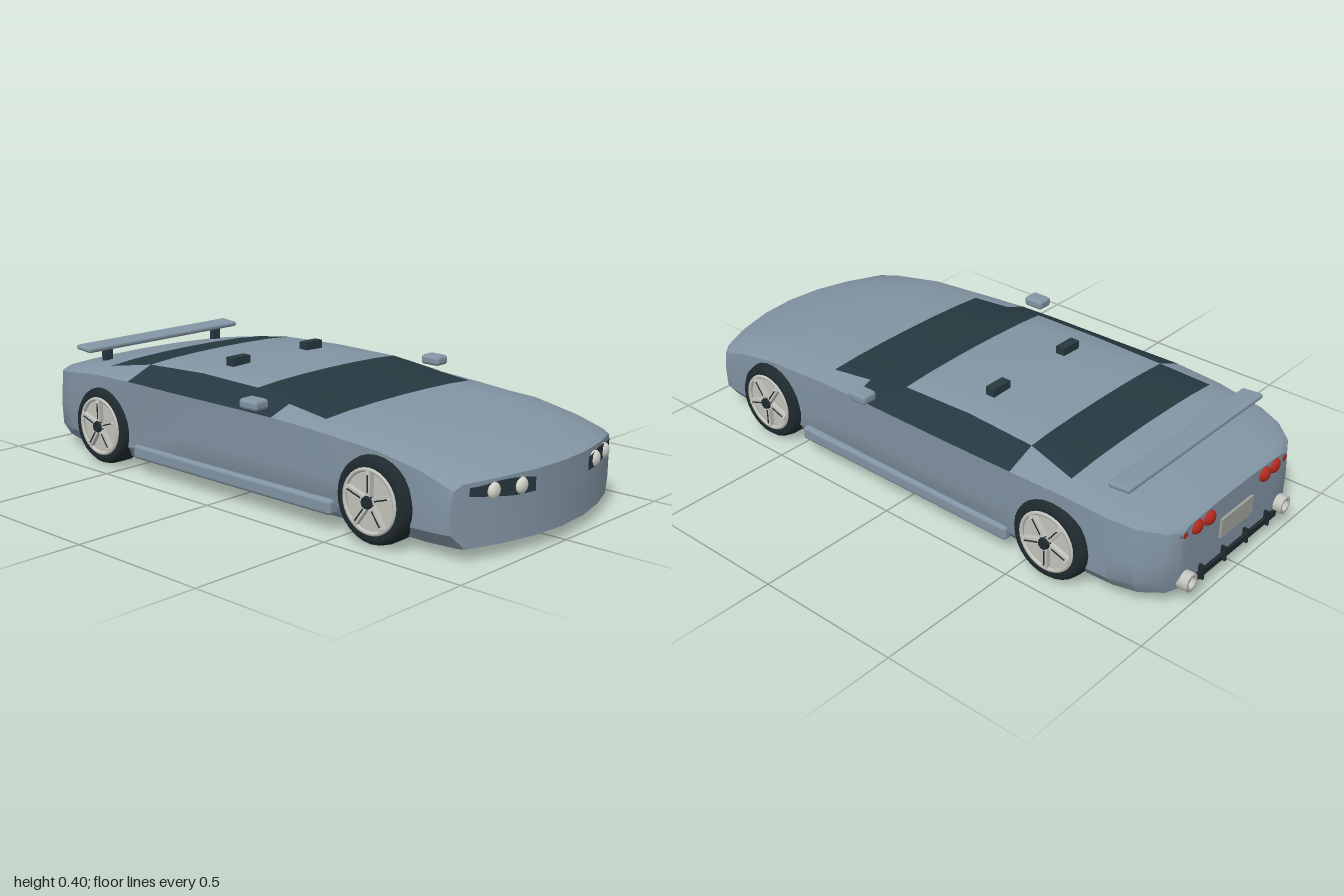
import * as THREE from 'three';
import { toCreasedNormals } from 'three/addons/utils/BufferGeometryUtils.js';
import { RoundedBoxGeometry } from 'three/addons/geometries/RoundedBoxGeometry.js';

const paint = (name, color) => {
  const m = new THREE.MeshStandardMaterial({ color });
  m.name = name;
  return m;
};

export function createModel() {
  const car = new THREE.Group();
  car.name = 'sportsCar';
  const body = paint('bodyPaint', 0x8294a3);
  const glass = paint('darkGlass', 0x263840);
  const rubber = paint('tyreRubber', 0x1f2a2e);
  const metal = paint('alloy', 0xc4c4be);
  const lampWhite = paint('lampWhite', 0xd6d6cc);
  const red = paint('tailRed', 0xb42a20);
  const plateGrey = paint('plateGrey', 0xa2a29e);

  const add = (name, geo, mat, x = 0, y = 0, z = 0, parent = car) => {
    const m = new THREE.Mesh(geo, mat);
    m.name = name;
    m.position.set(x, y, z);
    parent.add(m);
    return m;
  };
  const box = (w, h, d) => new THREE.BoxGeometry(w, h, d);

  // Body shell: z, bottom y, bottom w, mid w, shoulder w, shoulder y, roof edge w, roof edge y, centre y
  const sections = [
    [0.985, 0.04, 0.36, 0.40, 0.395, 0.212, 0.37, 0.230, 0.240],
    [0.95, 0.038, 0.365, 0.402, 0.40, 0.222, 0.37, 0.242, 0.254],
    [0.80, 0.035, 0.37, 0.405, 0.405, 0.252, 0.37, 0.270, 0.288],
    [0.62, 0.035, 0.37, 0.408, 0.412, 0.282, 0.37, 0.300, 0.317],
    [0.37, 0.035, 0.38, 0.412, 0.418, 0.300, 0.35, 0.318, 0.330],
    [0.21, 0.035, 0.385, 0.414, 0.424, 0.308, 0.343, 0.336, 0.350],
    [0.06, 0.035, 0.385, 0.416, 0.428, 0.310, 0.33, 0.360, 0.372],
    [-0.20, 0.035, 0.385, 0.418, 0.430, 0.311, 0.325, 0.365, 0.377],
    [-0.455, 0.035, 0.38, 0.418, 0.432, 0.314, 0.33, 0.356, 0.368],
    [-0.63, 0.035, 0.375, 0.412, 0.422, 0.308, 0.36, 0.330, 0.345],
    [-0.80, 0.038, 0.37, 0.405, 0.405, 0.290, 0.355, 0.304, 0.316],
    [-0.88, 0.042, 0.355, 0.385, 0.38, 0.277, 0.34, 0.290, 0.300],
    [-0.945, 0.046, 0.31, 0.335, 0.33, 0.264, 0.295, 0.277, 0.286],
    [-0.972, 0.055, 0.265, 0.285, 0.28, 0.250, 0.255, 0.264, 0.272],
  ];
  const N = 20;
  const pos = [];
  for (const [z, b, wb, wm, ws, ys, wr, yr, yt] of sections) {
    const half = [
      [0, b], [wb * 0.35, b], [wb * 0.7, b], [wb, b],
      [wm, b + 0.045], [wm + 0.004, 0.165], [ws, ys],
      [wr, yr], [wr * 0.7, yr + (yt - yr) * 0.6], [wr * 0.35, yr + (yt - yr) * 0.9], [0, yt],
    ];
    const bow = 0.1 * Math.max(0, (z - 0.75) / 0.235);
    for (let k = 0; k < N; k++) {
      const [x, y] = half[k <= 10 ? k : N - k];
      pos.push(k <= 10 ? x : -x, y, z - bow * (x / 0.4) ** 2);
    }
  }
  const painted = [], glazed = [];
  for (let i = 0; i < sections.length - 1; i++) {
    for (let k = 0; k < N; k++) {
      const k2 = (k + 1) % N;
      const a = i * N + k, b = i * N + k2, c = b + N, d = a + N;
      const top = k >= 7 && k <= 12, side = k === 6 || k === 13;
      const screen = top && (i === 4 || i === 5 || i === 8);
      const window = side && i >= 5 && i <= 7;
      (screen || window ? glazed : painted).push(a, d, c, a, c, b);
    }
  }
  // Nose and tail faces
  const capTris = [];
  for (let j = 0; j < 3; j++) capTris.push([j, j + 1, 9 - j], [j, 9 - j, 10 - j]);
  capTris.push([3, 4, 6], [3, 6, 7], [4, 5, 6]);
  const tail = (sections.length - 1) * N;
  for (const [a, b, c] of capTris) {
    const m = (k) => (N - k) % N;
    painted.push(a, b, c, m(a), m(c), m(b));
    painted.push(tail + a, tail + c, tail + b, tail + m(a), tail + m(b), tail + m(c));
  }
  let shell = new THREE.BufferGeometry();
  shell.setAttribute('position', new THREE.Float32BufferAttribute(pos, 3));
  shell.setIndex([...painted, ...glazed]);
  shell.addGroup(0, painted.length, 0);
  shell.addGroup(painted.length, glazed.length, 1);
  shell = toCreasedNormals(shell, 0.6);
  add('bodyShell', shell, [body, glass]);

  // Wheels: rounded tyre, dished rim, five spokes and hub
  const tyreGeo = new THREE.LatheGeometry([
    [0.098, 0.05], [0.118, 0.055], [0.13, 0.042], [0.135, 0.02], [0.135, -0.03], [0.12, -0.052], [0.02, -0.052],
  ].map(([r, h]) => new THREE.Vector2(r, h)).reverse(), 28);
  const rimGeo = new THREE.CylinderGeometry(0.099, 0.099, 0.07, 28);
  const lipGeo = new THREE.TorusGeometry(0.095, 0.007, 8, 32).rotateX(Math.PI / 2);
  const hubGeo = new THREE.CylinderGeometry(0.018, 0.022, 0.016, 10);
  const wheel = (s, z) => {
    const w = new THREE.Group();
    w.name = (z > 0 ? 'front' : 'rear') + (s > 0 ? 'Left' : 'Right') + 'Wheel';
    w.position.set(s * 0.388, 0.135, z);
    w.rotation.z = -s * Math.PI / 2;
    add('tyre', tyreGeo, rubber, 0, 0, 0, w);
    add('rim', rimGeo, metal, 0, 0.008, 0, w);
    add('rimLip', lipGeo, metal, 0, 0.05, 0, w);
    add('hub', hubGeo, rubber, 0, 0.06, 0, w);
    for (let i = 0; i < 5; i++) {
      const arm = new THREE.Group();
      arm.name = 'spoke';
      arm.rotation.y = i * Math.PI * 0.4;
      w.add(arm);
      add('spokeBar', box(0.08, 0.018, 0.02), metal, 0.052, 0.05, 0, arm);
      add('spokeGroove', box(0.055, 0.002, 0.004), rubber, 0.056, 0.06, 0, arm);
      add('wheelBolt', new THREE.ConeGeometry(0.007, 0.014, 6), metal, 0.085, 0.062, 0, arm);
    }
    car.add(w);
  };

  // Headlamp panel follows the curve of the nose
  const noseZ = (x) => 0.985 - 0.1 * (x / 0.4) ** 2;
  const lampPanel = (s) => {
    const g = new THREE.PlaneGeometry(2, 2, 10, 1);
    const p = g.attributes.position;
    for (let i = 0; i < p.count; i++) {
      const t = (s * p.getX(i) + 1) / 2;
      const x = 0.135 + 0.22 * t;
      const hi = 0.216 + 0.014 * Math.sin(Math.PI * Math.min(1, t * 1.1 + 0.05) * 0.9);
      const lo = 0.177 + 0.026 * Math.max(0, t - 0.35);
      p.setXYZ(i, s * x, p.getY(i) > 0 ? hi : lo, noseZ(x) + 0.006);
    }
    g.computeVertexNormals();
    return g;
  };
  const ball = new THREE.SphereGeometry(1, 16, 12);

  for (const s of [1, -1]) {
    wheel(s, 0.62);
    wheel(s, -0.604);
    add('headlampPanel', lampPanel(s), glass);
    for (const x of [0.187, 0.28])
      add('headlamp', ball, lampWhite, s * x, 0.202, noseZ(x) + 0.004).scale.set(0.025, 0.025, 0.014);
    for (const [x, z] of [[0.15, -0.974], [0.21, -0.971], [0.268, -0.958]])
      add('tailLamp', ball, red, s * x, 0.24, z).scale.set(0.027, 0.024, 0.016);
    add('doorMirror', new RoundedBoxGeometry(0.06, 0.034, 0.076, 3, 0.012), body, s * 0.438, 0.344, 0.152);
    add('sideSkirt', new RoundedBoxGeometry(0.05, 0.048, 0.9, 3, 0.012), body, s * 0.408, 0.076, 0.01);
    add('roofPod', box(0.078, 0.03, 0.034), glass, s * 0.175, 0.386, -0.19);
    add('wingStrut', box(0.03, 0.06, 0.024), glass, s * 0.26, 0.328, -0.775);
    const pipe = new THREE.LatheGeometry([
      [0.018, -0.03], [0.018, 0.03], [0.03, 0.03], [0.03, -0.04],
    ].map(([r, h]) => new THREE.Vector2(r, h)).reverse(), 18).rotateX(-Math.PI / 2);
    add('exhaustPipe', pipe, metal, s * 0.258, 0.08, -0.97);
    add('exhaustCore', new THREE.CircleGeometry(0.019, 18).rotateY(Math.PI), rubber, s * 0.258, 0.08, -0.985);
  }

  // Rear wing, number plate panel and diffuser
  add('rearWing', new RoundedBoxGeometry(0.71, 0.018, 0.076, 3, 0.008), body, 0, 0.365, -0.792).rotation.x = 0.08;
  add('rearPlate', box(0.17, 0.066, 0.008), plateGrey, 0, 0.166, -0.977);
  add('diffuser', box(0.47, 0.02, 0.03), rubber, 0, 0.056, -0.968);
  for (let i = 0; i < 4; i++)
    add('diffuserFin', box(0.008, 0.05, 0.04), rubber, -0.18 + i * 0.12, 0.066, -0.97);
  return car;
}
